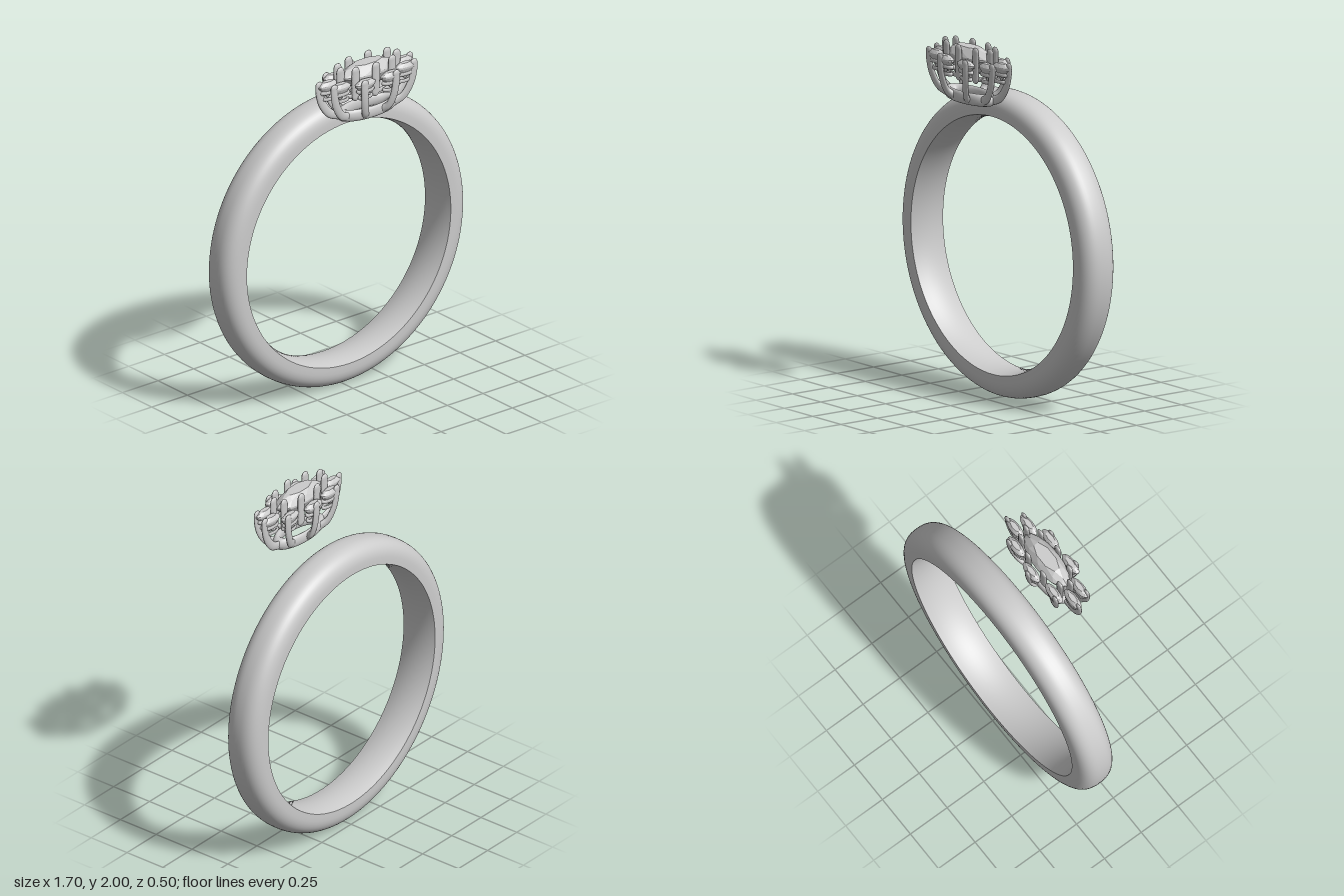
import * as THREE from 'three';
import { ConvexGeometry } from 'three/addons/geometries/ConvexGeometry.js';

const metal = new THREE.MeshStandardMaterial({ color: 0xcccccc });
const facet = new THREE.MeshStandardMaterial({ color: 0xcccccc, flatShading: true });

const N = 9;                       // halo stones and prongs around the head
const STEP = (Math.PI * 2) / N;

function add(parent, name, geometry, material = metal) {
  const mesh = new THREE.Mesh(geometry, material);
  mesh.name = name;
  parent.add(mesh);
  return mesh;
}

// Brilliant-cut stone; y = 0 is the girdle
function gemGeometry(radius, crown, pavilion) {
  const points = [new THREE.Vector3(0, -pavilion, 0)];
  const ring = (r, y, n, offset) => {
    for (let i = 0; i < n; i++) {
      const a = ((i + offset) / n) * Math.PI * 2;
      points.push(new THREE.Vector3(Math.sin(a) * r, y, Math.cos(a) * r));
    }
  };
  ring(radius * 0.55, crown, 8, 0.5);
  ring(radius * 0.8, crown * 0.62, 8, 0);
  ring(radius, 0.005, 16, 0);
  ring(radius, -0.005, 16, 0);
  return new ConvexGeometry(points);
}

function hoop(parent, name, radius, tube, y) {
  const mesh = add(parent, name, new THREE.TorusGeometry(radius, tube, 12, 48));
  mesh.rotation.x = Math.PI / 2;
  mesh.position.y = y;
  return mesh;
}

// Round wire through [radius, y] points, with ball ends
function prong(parent, name, path, thickness) {
  const group = new THREE.Group();
  group.name = name;
  const pts = path.map(([r, y]) => new THREE.Vector3(0, y, r));
  const curve = new THREE.CatmullRomCurve3(pts);
  add(group, name + 'Wire', new THREE.TubeGeometry(curve, 20, thickness, 12));
  for (const p of [pts[0], pts[pts.length - 1]]) {
    add(group, name + 'Tip', new THREE.SphereGeometry(thickness, 12, 8)).position.copy(p);
  }
  parent.add(group);
  return group;
}

function buildBand() {
  const band = new THREE.Group();
  band.name = 'band';
  const half = 0.11, edge = 0.715, shoulder = 0.735, outerR = 0.85;
  // Domed outside with rounded shoulders
  const outer = [new THREE.Vector2(edge, -half)];
  for (let i = 0; i <= 24; i++) {
    const a = -Math.PI / 2 + (Math.PI * i) / 24;
    const c = Math.cos(a), s = Math.sin(a);
    outer.push(new THREE.Vector2(
      shoulder + (outerR - shoulder) * Math.pow(Math.max(c, 0), 0.8),
      half * Math.sign(s) * Math.pow(Math.abs(s), 0.8)));
  }
  outer.push(new THREE.Vector2(edge, half));
  add(band, 'bandOutside', new THREE.LatheGeometry(outer, 128));
  // Slightly bulging comfort-fit inside
  const inner = [];
  for (let i = 0; i <= 10; i++) {
    const t = 1 - i / 5;
    inner.push(new THREE.Vector2(0.695 + (edge - 0.695) * t * t, half * t));
  }
  add(band, 'bandInside', new THREE.LatheGeometry(inner, 128));
  band.rotation.x = Math.PI / 2;
  band.position.set(0, 0.85, -0.145);
  return band;
}

function buildHead() {
  const head = new THREE.Group();
  head.name = 'head';
  hoop(head, 'baseRing', 0.168, 0.034, 1.706);
  hoop(head, 'galleryRing', 0.185, 0.014, 1.825);

  add(head, 'centreStone', gemGeometry(0.185, 0.055, 0.145), facet).position.y = 1.925;

  const haloGem = gemGeometry(0.07, 0.025, 0.075);
  for (let i = 0; i < N; i++) {
    // Spoke with halo stone, its seat and the outer claw
    const spoke = new THREE.Group();
    spoke.name = 'haloSetting';
    spoke.rotation.y = Math.PI + i * STEP;
    add(spoke, 'haloStone', haloGem, facet).position.set(0, 1.902, 0.262);
    hoop(spoke, 'haloSeat', 0.05, 0.011, 1.865).position.z = 0.258;
    hoop(spoke, 'haloLowerSeat', 0.04, 0.011, 1.825).position.z = 0.25;
    prong(spoke, 'outerProng',
      [[0.185, 1.705], [0.25, 1.733], [0.3, 1.8], [0.32, 1.87], [0.322, 1.912]], 0.025);
    head.add(spoke);
    // Upright claw holding the centre stone, between two halo stones
    const claw = prong(head, 'innerProng', [[0.193, 1.825], [0.198, 1.9], [0.2, 1.973]], 0.027);
    claw.rotation.y = i * STEP;
  }
  // Oval head, flattened front to back
  head.scale.z = 0.39;
  head.position.z = 0.117;
  return head;
}

export function createModel() {
  const ring = new THREE.Group();
  ring.name = 'ring';
  ring.add(buildBand(), buildHead());
  return ring;
}
